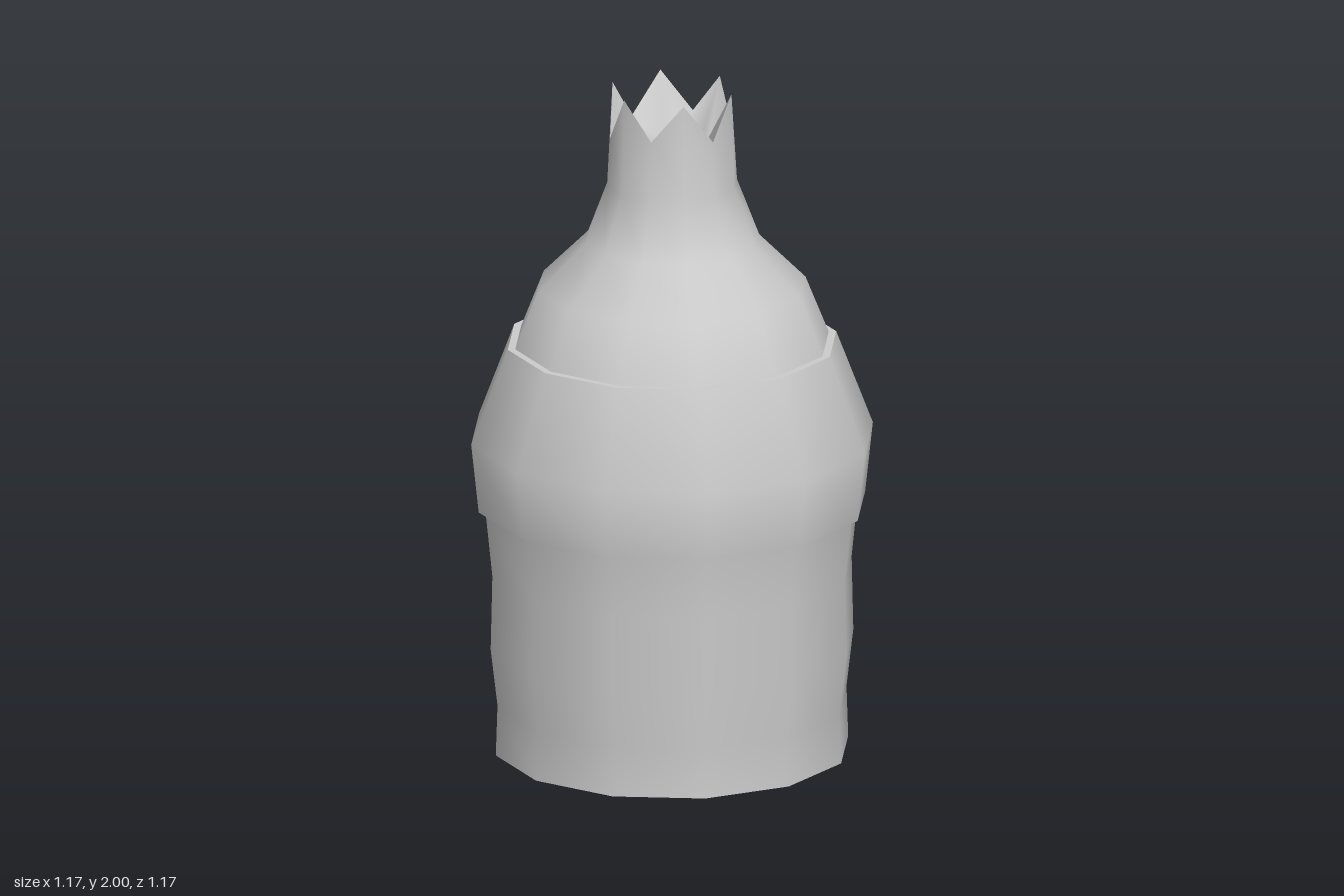
import * as THREE from 'three';

const SIDES = 12;
// Heights of the notches between the points of the jagged rim, going round
const NOTCHES = [1.89, 1.88, 1.85, 1.88, 1.87, 1.86];

const lathe = (profile) =>
  new THREE.LatheGeometry(profile.map(([r, y]) => new THREE.Vector2(r, y)), SIDES);

// Lower every second vertex of one profile row to make the broken rim
function breakRim(geometry, rows, row) {
  const pos = geometry.attributes.position;
  for (let i = 1; i < SIDES; i += 2) pos.setY(i * rows + row, NOTCHES[(i - 1) / 2]);
  return geometry;
}

export function createModel() {
  const group = new THREE.Group();
  const material = new THREE.MeshStandardMaterial({ color: 0xcccccc });
  const add = (name, geometry, parent = group) => {
    const mesh = new THREE.Mesh(geometry, material);
    mesh.name = name;
    parent.add(mesh);
  };

  // Bottle wall from the foot up to the broken neck
  const wall = [
    [0.515, 0.02], [0.51, 0.17], [0.53, 0.34], [0.525, 0.56], [0.545, 0.755],
    [0.567, 0.96], [0.458, 1.24], [0.39, 1.41], [0.255, 1.545], [0.19, 1.715], [0.181, 2],
  ];
  add('bottleWall', breakRim(lathe(wall), wall.length, wall.length - 1));

  // Base, bulging very slightly at the centre
  add('bottleBase', lathe([[0, 0], [0.15, 0.018], [0.515, 0.02]]));

  // Inside of the neck, tapering to a small floor
  const inside = breakRim(lathe([[0.181, 2], [0.102, 1.8]]), 2, 0);
  inside.computeVertexNormals();
  add('neckInside', inside);
  add('neckFloor', lathe([[0.102, 1.8], [0, 1.8]]));

  // Raised band around the body, with its upper and lower edges
  const band = new THREE.Group();
  band.name = 'band';
  group.add(band);
  add('bandFace', lathe([[0.565, 0.755], [0.587, 0.96], [0.48, 1.24]]), band);
  add('bandUpperEdge', lathe([[0.48, 1.24], [0.455, 1.24]]), band);
  add('bandLowerEdge', lathe([[0.54, 0.755], [0.565, 0.755]]), band);

  return group;
}
